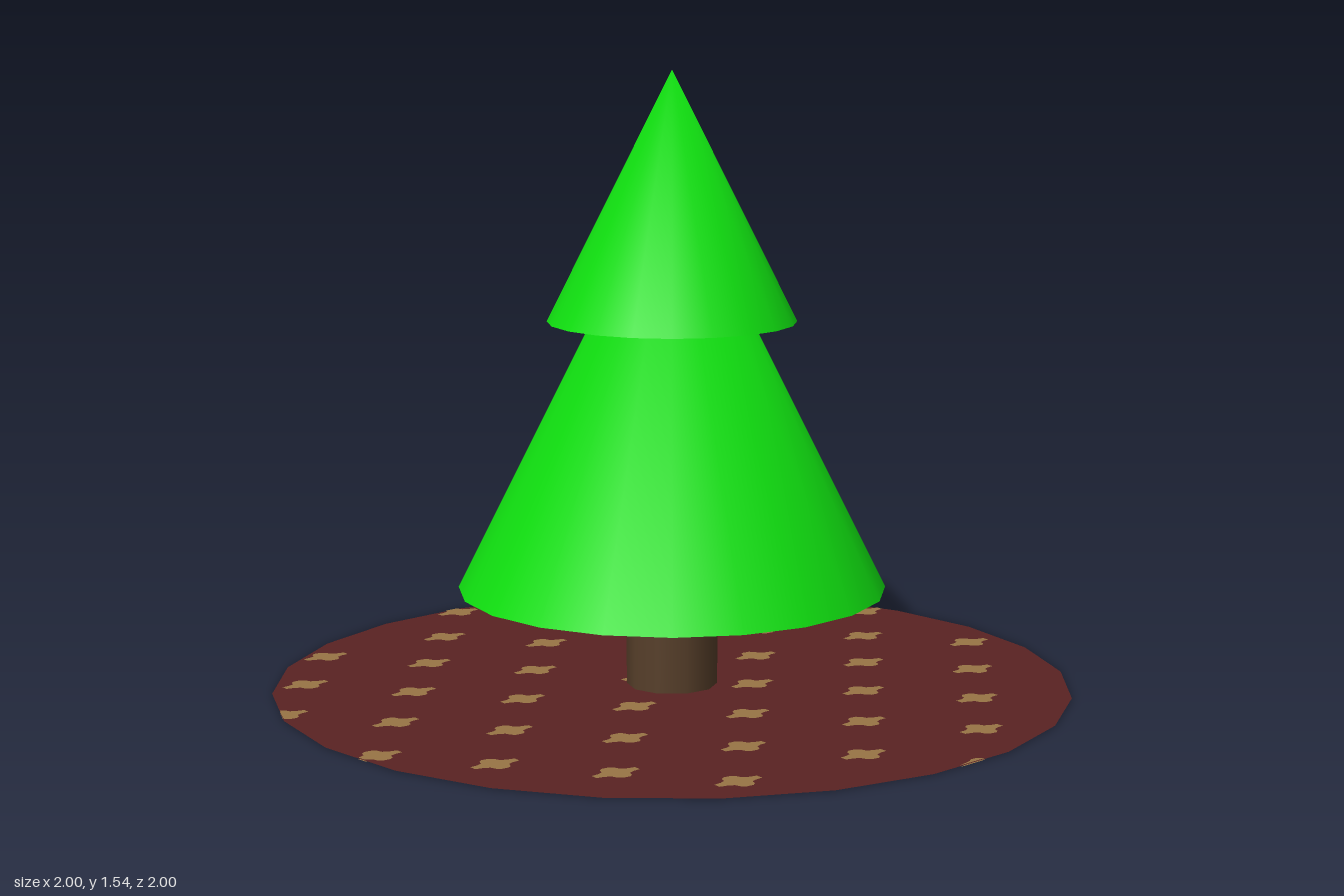
import * as THREE from 'three';

const green = new THREE.MeshStandardMaterial({ color: 0x10e010 });
green.name = 'leafGreen';
const brown = new THREE.MeshStandardMaterial({ color: 0x573f2a });
brown.name = 'barkBrown';
const maroon = new THREE.MeshStandardMaterial({ color: 0x5a2222, side: THREE.DoubleSide });
maroon.name = 'skirtMaroon';
const gold = new THREE.MeshStandardMaterial({ color: 0x987545, side: THREE.DoubleSide });
gold.name = 'markGold';

function add(group, name, geometry, material, y) {
  const mesh = new THREE.Mesh(geometry, material);
  mesh.name = name;
  mesh.position.y = y;
  group.add(mesh);
}

// Cone standing on its base, shaded round at the tip
function tierGeometry(radius, height) {
  const geo = new THREE.ConeGeometry(radius, height, 20);
  const { position, normal } = geo.attributes;
  for (let i = 0; i < position.count; i++) {
    if (position.getY(i) > height / 2 - 1e-4) normal.setXYZ(i, 0, 1, 0);
  }
  return geo.translate(0, height / 2, 0);
}

// Pulls a point back inside the 24-sided rim of the skirt
function insideRim(x, z) {
  const step = Math.PI / 12;
  const a = Math.atan2(z, x) + 2 * Math.PI;
  const limit = Math.cos(step / 2) / Math.cos((a % step) - step / 2);
  const s = Math.min(1, limit / Math.hypot(x, z));
  return new THREE.Vector2(x * s, -z * s);
}

// Small four-armed marks in staggered rows
function markGeometry() {
  const quarter = [[0.043, 0.01], [0.035, 0.02], [0.02, 0.025], [0.013, 0.04], [0.01, 0.06]];
  const back = [...quarter].reverse();
  const outline = [
    ...quarter,
    ...back.map(([x, z]) => [-x, z]),
    ...quarter.map(([x, z]) => [-x, -z]),
    ...back.map(([x, z]) => [x, -z]),
  ];
  const shapes = [];
  for (let row = -5; row <= 5; row++) {
    const z = 0.03 + row * 0.182;
    for (let col = 0; col < 5; col++) {
      const x = (row % 2 ? -0.74 : -0.96) + col * 0.437;
      if (Math.hypot(x, z) > 1.03) continue;
      shapes.push(new THREE.Shape(outline.map(([dx, dz]) => insideRim(x + dx, z + dz))));
    }
  }
  return new THREE.ShapeGeometry(shapes).rotateX(-Math.PI / 2);
}

export function createModel() {
  const tree = new THREE.Group();
  tree.name = 'tree';

  // Round skirt on the ground, with marks on both faces
  add(tree, 'skirt', new THREE.CircleGeometry(1, 24).rotateX(-Math.PI / 2), maroon, 0.002);
  const marks = markGeometry();
  add(tree, 'skirtMarksTop', marks, gold, 0.004);
  add(tree, 'skirtMarksBottom', marks, gold, 0);

  // Trunk and two leafy tiers
  add(tree, 'trunk', new THREE.CylinderGeometry(0.114, 0.114, 0.27, 10), brown, 0.137);
  add(tree, 'lowerTier', tierGeometry(0.535, 1.07), green, 0.25);
  add(tree, 'upperTier', tierGeometry(0.31, 0.62), green, 0.922);
  return tree;
}
